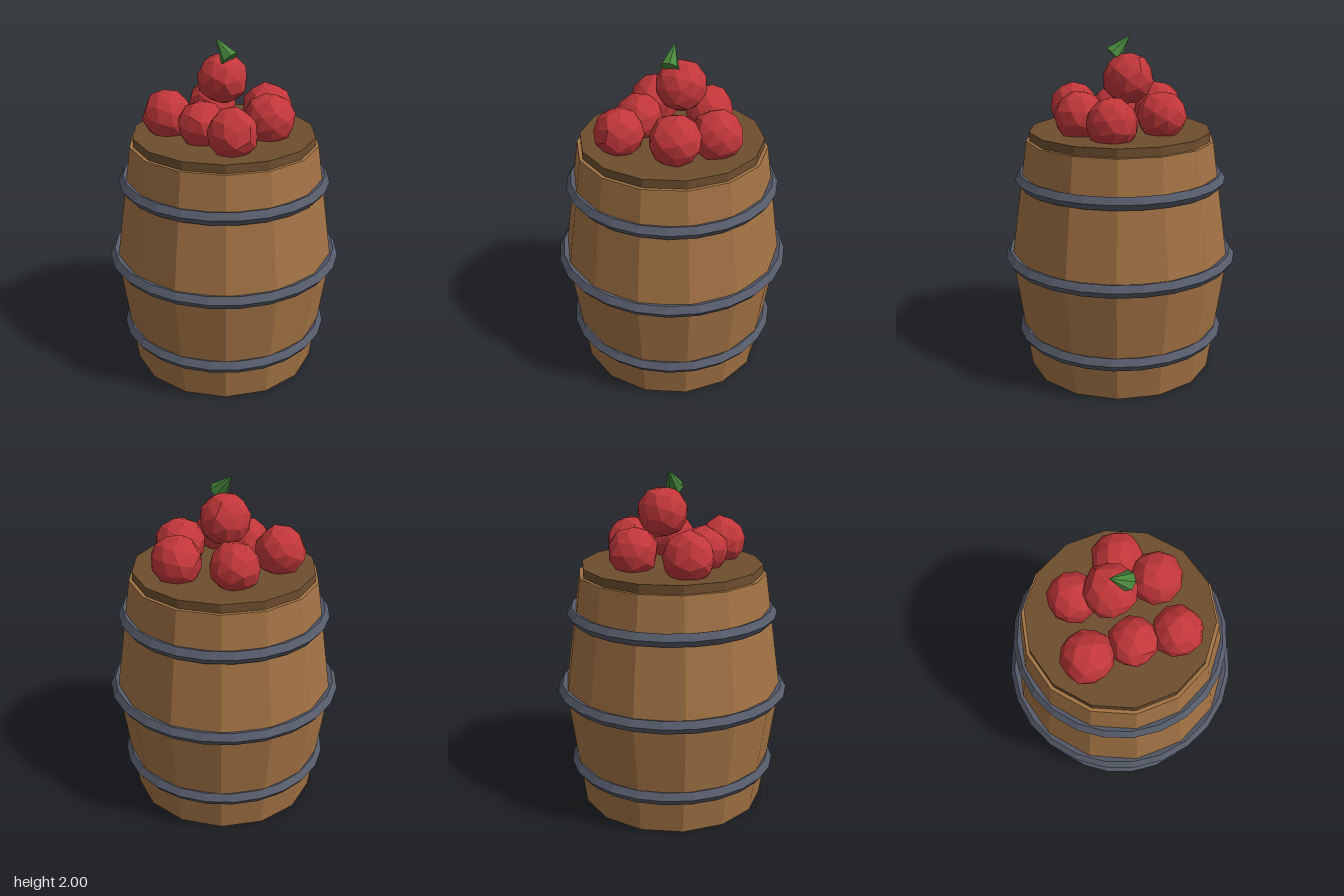
import * as THREE from 'three';

const material = (name, color) => {
  const m = new THREE.MeshStandardMaterial({ color });
  m.name = name;
  return m;
};

// Give every face its own flat normal
function faceted(geometry) {
  const g = geometry.index ? geometry.toNonIndexed() : geometry;
  g.computeVertexNormals();
  return g;
}

// Low-poly fruit: a sphere of triangles whose corners are nudged in or out
function fruitGeometry(radius, seed) {
  const g = new THREE.IcosahedronGeometry(1, 1);
  const p = g.attributes.position;
  const v = new THREE.Vector3();
  for (let i = 0; i < p.count; i++) {
    v.fromBufferAttribute(p, i);
    const nudge = Math.sin(v.x * 5.1 + seed * 2.3) * Math.sin(v.y * 4.3 + seed) * Math.cos(v.z * 4.7 - seed);
    v.multiplyScalar(radius * (1 + 0.07 * nudge));
    p.setXYZ(i, v.x, v.y, v.z);
  }
  return faceted(g);
}

export function createModel() {
  const wood = material('barrel wood', 0xa37345);
  const darkWood = material('lid wood', 0x6e4e2e);
  const iron = material('hoop iron', 0x555a69);
  const red = material('fruit red', 0xc2373a);
  const green = material('leaf green', 0x47853c);

  const model = new THREE.Group();
  const add = (name, geometry, mat, x = 0, y = 0, z = 0) => {
    const mesh = new THREE.Mesh(faceted(geometry), mat);
    mesh.name = name;
    mesh.position.set(x, y, z);
    model.add(mesh);
    return mesh;
  };

  // Bulging barrel with fourteen staves, closed at both ends
  const profile = [[0, 0], [0.55, 0], [0.65, 0.705], [0.55, 1.41], [0, 1.41]]
    .map(([r, y]) => new THREE.Vector2(r, y));
  add('barrel', new THREE.LatheGeometry(profile, 14, Math.PI / 2), wood);

  // Lid
  add('lid', new THREE.CylinderGeometry(0.53, 0.53, 0.06, 14, 1, false, Math.PI / 2), darkWood, 0, 1.43, 0);

  // Three iron hoops
  for (const [radius, y] of [[0.58, 0.238], [0.65, 0.708], [0.58, 1.178]]) {
    add('hoop', new THREE.TorusGeometry(radius, 0.04, 5, 24).rotateX(Math.PI / 2), iron, 0, y, 0);
  }

  // Heap of fruit: x, y, z, radius
  const heap = [
    [-0.21, 1.555, -0.16, 0.142],
    [0.10, 1.55, -0.29, 0.146],
    [0.25, 1.56, -0.095, 0.148],
    [-0.26, 1.555, 0.185, 0.147],
    [-0.005, 1.55, 0.195, 0.138],
    [0.235, 1.56, 0.23, 0.142],
    [-0.04, 1.758, -0.04, 0.147],
  ];
  heap.forEach(([x, y, z, r], i) => {
    add('fruit', fruitGeometry(r, i + 1), red, x, y, z).rotation.set(i * 1.3, i * 0.9, i * 0.7);
  });

  // Pointed leaf leaning out of the top fruit
  const leaf = add('leaf', new THREE.ConeGeometry(0.055, 0.147, 7), green, -0.01, 1.944, 0);
  leaf.rotation.z = 0.76;

  return model;
}
